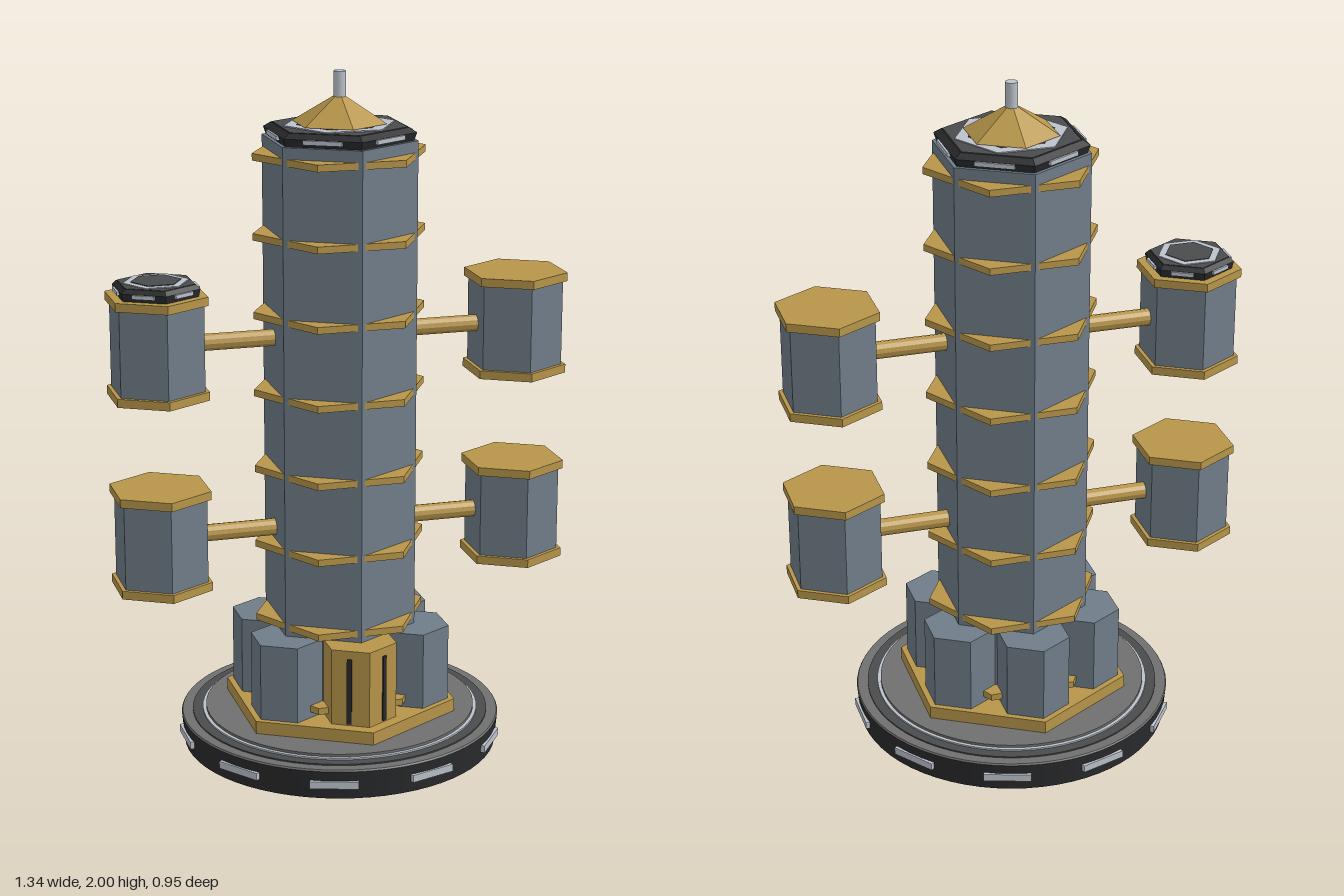
import * as THREE from 'three';

const material = (color, flatShading = true) => new THREE.MeshStandardMaterial({ color, flatShading });
const gold = material(0xb8964a);
const steel = material(0x707d89);
const black = material(0x2a2b2d);
const dark = material(0x4a4b4d);
const light = material(0xbcc3cc);
const roundBlack = material(0x2a2b2d, false);
const roundDark = material(0x4a4b4d, false);
const roundGrey = material(0x707070, false);
const roundLight = material(0xbcc3cc, false);

function add(parent, name, geometry, mat, x = 0, y = 0, z = 0) {
  const mesh = new THREE.Mesh(geometry, mat);
  mesh.name = name;
  mesh.position.set(x, y, z);
  parent.add(mesh);
  return mesh;
}

// Upright prism between two heights; six-sided ones have corners on +z and -z
function prism(parent, name, mat, rTop, rBottom, y0, y1, sides = 6, x = 0, z = 0) {
  const geometry = new THREE.CylinderGeometry(rTop, rBottom, y1 - y0, sides);
  return add(parent, name, geometry, mat, x, (y0 + y1) / 2, z);
}

// Row of thin window strips facing outward around a centre
function windows(parent, count, radius, y, width, height, offset) {
  for (let i = 0; i < count; i++) {
    const a = offset + (i * Math.PI * 2) / count;
    const strip = add(parent, 'windowStrip', new THREE.BoxGeometry(width, height, 0.012), light,
      Math.sin(a) * radius, y, Math.cos(a) * radius);
    strip.rotation.y = a;
  }
}

// Hexagonal dark cap with a chamfered rim, light ring and window strips
function createCap(r, height) {
  const cap = new THREE.Group();
  cap.name = 'hexCap';
  prism(cap, 'capRim', black, r, r * 0.96, 0, height * 0.55);
  prism(cap, 'capChamfer', black, r * 0.9, r, height * 0.55, height * 0.85);
  prism(cap, 'capDeck', dark, r * 0.88, r * 0.88, height * 0.5, height * 0.88);
  prism(cap, 'capLightRing', light, r * 0.73, r * 0.73, height * 0.5, height * 0.95).rotation.y = Math.PI / 6;
  prism(cap, 'capCentre', dark, r * 0.56, r * 0.56, height * 0.5, height).rotation.y = Math.PI / 6;
  windows(cap, 6, r * 0.866, height * 0.4, r * 0.5, height * 0.28, Math.PI / 6);
  return cap;
}

// Hexagonal side pod with gold end plates and an arm reaching to the tower
function createPod(side, y) {
  const pod = new THREE.Group();
  pod.name = 'sidePod';
  pod.position.set(side * 0.535, y, 0);
  prism(pod, 'podBody', steel, 0.14, 0.14, -0.13, 0.13);
  prism(pod, 'podFloor', gold, 0.153, 0.153, -0.15, -0.125);
  prism(pod, 'podRoof', gold, 0.153, 0.153, 0.125, 0.15);
  const arm = add(pod, 'podArm', new THREE.CylinderGeometry(0.025, 0.025, 0.28, 12), gold, -side * 0.25, 0, 0);
  arm.rotation.z = Math.PI / 2;
  return pod;
}

export function createModel() {
  const model = new THREE.Group();
  model.name = 'tower';

  // Stepped round base
  const base = new THREE.Group();
  base.name = 'base';
  model.add(base);
  prism(base, 'baseRim', roundBlack, 0.473, 0.465, 0, 0.085, 64);
  prism(base, 'baseRimTop', roundGrey, 0.47, 0.473, 0.085, 0.09, 64);
  prism(base, 'baseStep', roundDark, 0.44, 0.44, 0.08, 0.094, 64);
  prism(base, 'baseLightRing', roundLight, 0.41, 0.41, 0.08, 0.099, 64);
  prism(base, 'baseDeck', roundGrey, 0.4, 0.4, 0.08, 0.107, 64);
  windows(base, 10, 0.47, 0.045, 0.14, 0.022, Math.PI / 2);
  prism(base, 'hexPlinth', gold, 0.35, 0.35, 0.1, 0.145);

  // Tower shaft with gold bands turned so their corners stand clear of its faces
  prism(model, 'towerShaft', steel, 0.227, 0.227, 0.14, 1.812);
  for (let i = 0; i < 8; i++) {
    const y = 0.173 + i * 0.228;
    prism(model, 'towerBand', gold, 0.255, 0.255, y - 0.01, y + 0.01).rotation.y = Math.PI / 6;
  }

  // Five annexes and the gold entrance around the foot
  for (let i = 1; i < 6; i++) {
    const a = (i * Math.PI) / 3;
    prism(model, 'annex', steel, 0.11, 0.11, 0.14, 0.375, 6, Math.sin(a) * 0.22, Math.cos(a) * 0.22);
  }
  prism(model, 'entrance', gold, 0.113, 0.113, 0.14, 0.375, 6, 0, 0.197);
  for (const side of [-1, 1]) {
    const slot = add(model, 'entranceSlot', new THREE.BoxGeometry(0.014, 0.2, 0.008), black, side * 0.052, 0.25, 0.28);
    slot.rotation.y = (side * Math.PI) / 6;
  }

  // Side pods, one with a cap
  for (const side of [-1, 1]) {
    for (const y of [0.675, 1.245]) model.add(createPod(side, y));
  }
  const podCap = createCap(0.13, 0.04);
  podCap.position.set(-0.535, 1.395, 0);
  model.add(podCap);

  // Tower cap, roof and mast
  const towerCap = createCap(0.223, 0.045);
  towerCap.position.y = 1.81;
  model.add(towerCap);
  add(model, 'roof', new THREE.ConeGeometry(0.138, 0.085, 6), gold, 0, 1.8975, 0);
  prism(model, 'mast', roundLight, 0.018, 0.018, 1.9, 2, 12);

  return model;
}
